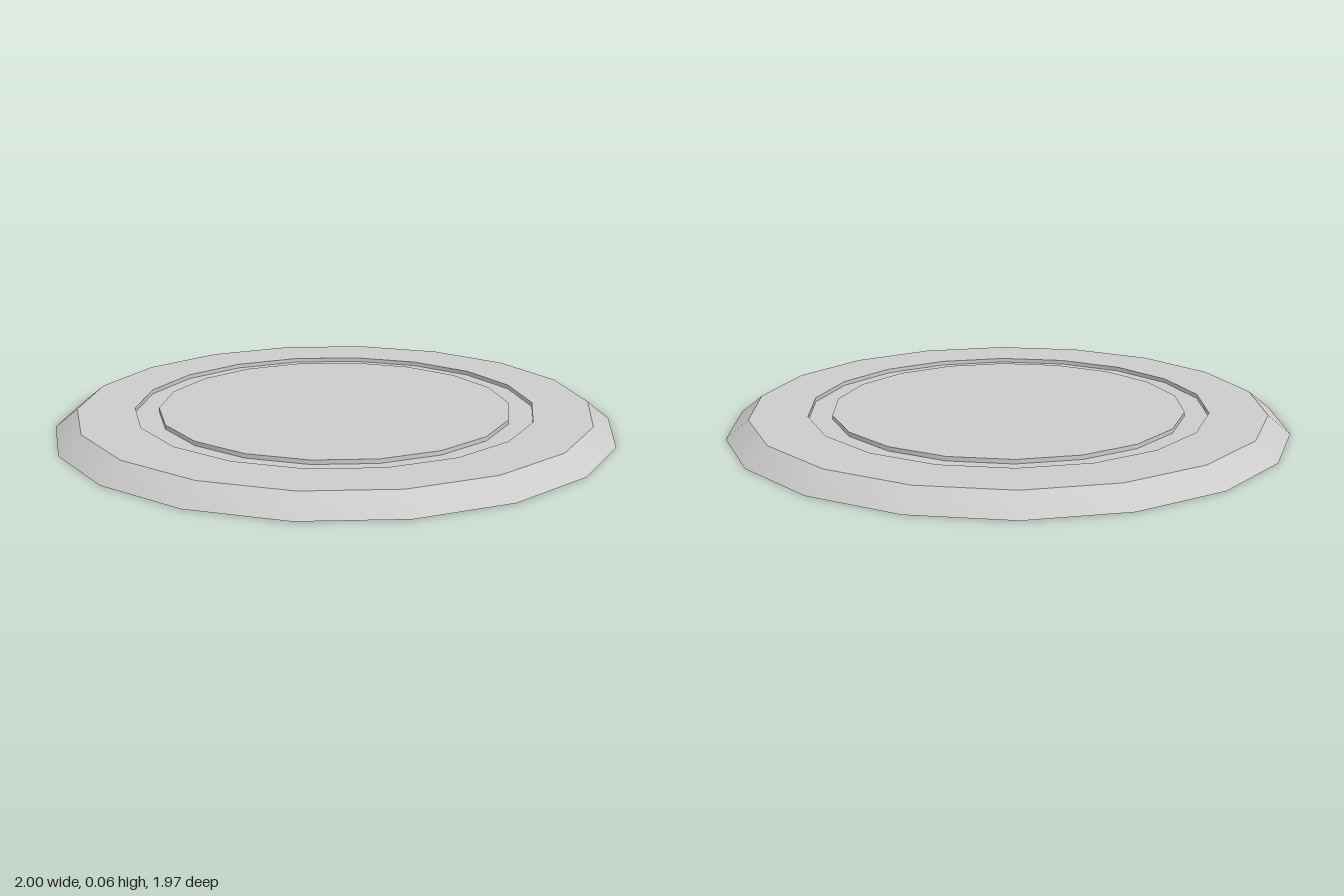
import * as THREE from 'three';
import { toCreasedNormals } from 'three/addons/utils/BufferGeometryUtils.js';

const SIDES = 18;
const HEIGHT = 0.065;
const GROOVE_FLOOR = HEIGHT - 0.015;

export function createModel() {
  const group = new THREE.Group();
  group.name = 'roundPlate';

  // Half section [radius, height], from the underside centre round to the top centre
  const profile = [
    [0, 0],
    [1, 0], // bottom edge
    [0.92, HEIGHT], // sloped rim
    [0.715, HEIGHT], // flat border
    [0.715, GROOVE_FLOOR], // ring groove
    [0.63, GROOVE_FLOOR],
    [0.63, HEIGHT],
    [0, HEIGHT], // centre disc
  ].map(([r, y]) => new THREE.Vector2(r, y));

  // Corners lie on the x axis; creases keep the profile edges sharp
  const lathe = new THREE.LatheGeometry(profile, SIDES, Math.PI / 2);
  const plate = new THREE.Mesh(
    toCreasedNormals(lathe, THREE.MathUtils.degToRad(30)),
    new THREE.MeshStandardMaterial({ color: 0xcccccc })
  );
  plate.name = 'groovedPlate';
  group.add(plate);
  return group;
}
